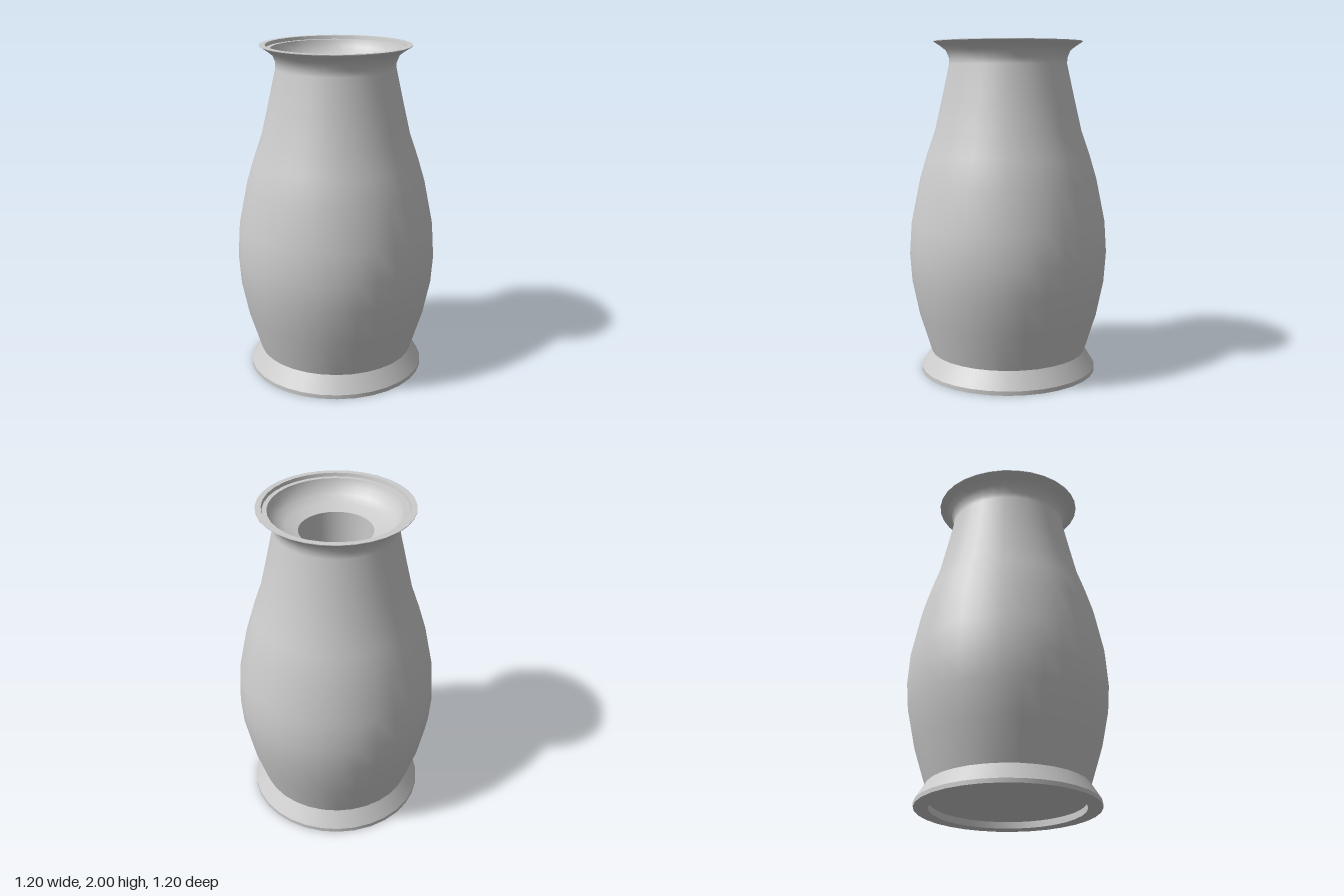
import * as THREE from 'three';

const SIDES = 32;

// Profile sections as [radius, height], ordered underside -> outside -> rim -> inside.
// Each section is smooth in itself; the joins between sections stay sharp.
const SECTIONS = {
  base: [[[0, 0.04], [0.45, 0.04]]],
  foot: [
    [[0.45, 0.04], [0.45, 0]],
    [[0.45, 0], [0.535, 0]],
    [[0.535, 0], [0.535, 0.025]],
    [[0.535, 0.025], [0.472, 0.125]],
  ],
  body: [[
    [0.472, 0.125], [0.545, 0.36], [0.588, 0.57], [0.6, 0.735], [0.588, 0.92],
    [0.535, 1.18], [0.49, 1.33], [0.44, 1.475], [0.395, 1.67], [0.352, 1.865],
    [0.352, 1.9], [0.37, 1.945], [0.405, 1.972], [0.443, 1.996],
  ]],
  rim: [
    [[0.443, 1.996], [0.443, 2]],
    [[0.443, 2], [0.41, 2]],
    [[0.41, 2], [0.406, 1.98]],
    [[0.406, 1.98], [0.38, 1.98]],
  ],
  mouth: [[[0.38, 1.98], [0.368, 1.94], [0.335, 1.9], [0.285, 1.87], [0.212, 1.85]]],
  innerWall: [[[0.212, 1.85], [0.212, 0.12]]],
  innerFloor: [[[0.212, 0.12], [0, 0.12]]],
};

export function createModel() {
  const vase = new THREE.Group();
  vase.name = 'vase';
  const material = new THREE.MeshStandardMaterial({ color: 0xcccccc, side: THREE.DoubleSide });

  for (const [name, profiles] of Object.entries(SECTIONS)) {
    const part = new THREE.Group();
    part.name = name;
    for (const profile of profiles) {
      const points = profile.map(([r, y]) => new THREE.Vector2(r, y));
      const mesh = new THREE.Mesh(new THREE.LatheGeometry(points, SIDES), material);
      mesh.name = name + 'Surface';
      part.add(mesh);
    }
    vase.add(part);
  }
  return vase;
}
